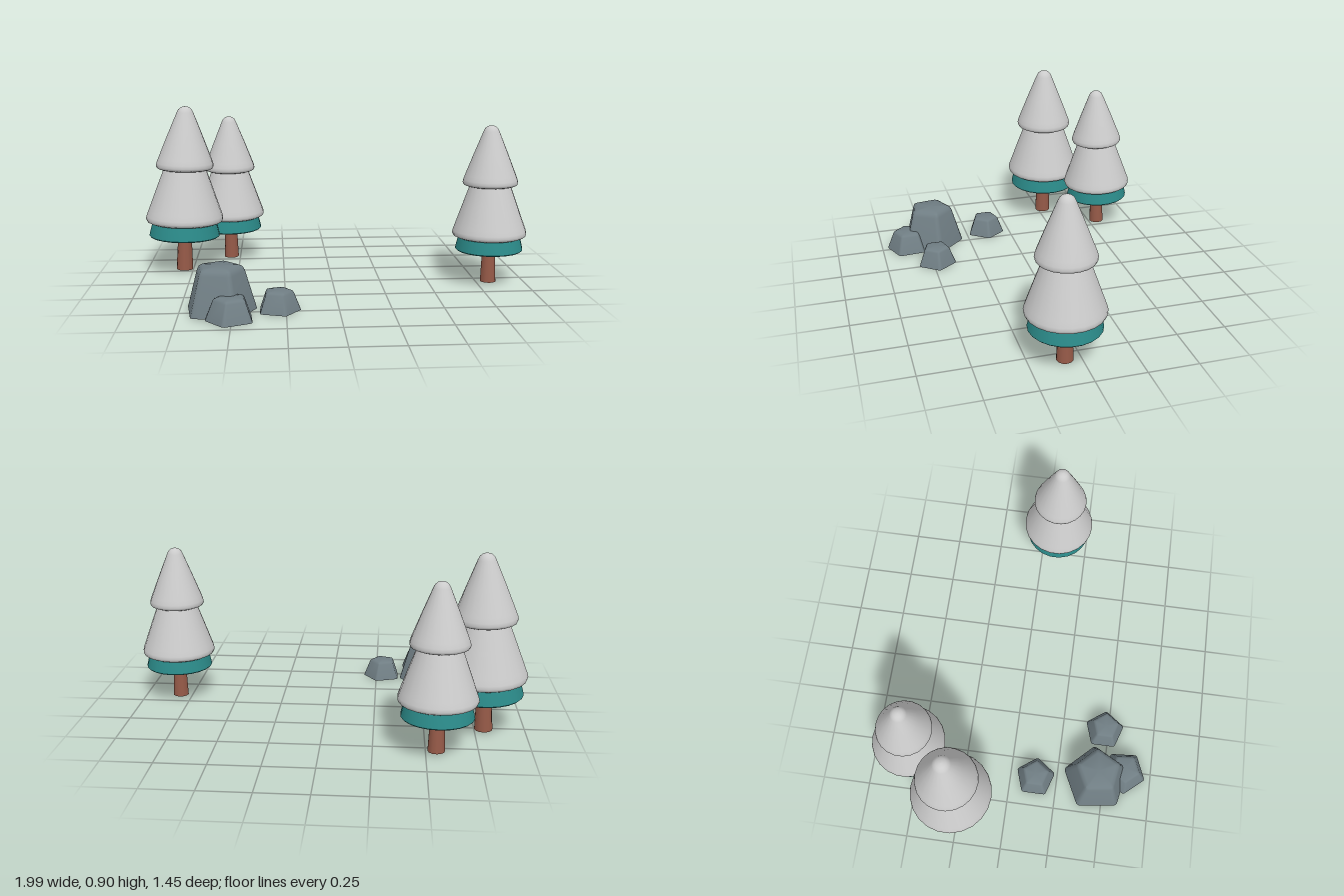
import * as THREE from 'three';
import { toCreasedNormals } from 'three/addons/utils/BufferGeometryUtils.js';

const grey = new THREE.MeshStandardMaterial({ color: 0xcccccc });
const teal = new THREE.MeshStandardMaterial({ color: 0x2b8a89 });
const bark = new THREE.MeshStandardMaterial({ color: 0x965a48 });
const stone = new THREE.MeshStandardMaterial({ color: 0x707e84, side: THREE.DoubleSide });

function lathe(name, profile, material, crease) {
  const geometry = new THREE.LatheGeometry(profile.map(([r, y]) => new THREE.Vector2(r, y)), 22);
  const mesh = new THREE.Mesh(crease ? toCreasedNormals(geometry, crease) : geometry, material);
  mesh.name = name;
  return mesh;
}

// Conifer: tapered trunk, coloured skirt and two round-rimmed snow cones
function makeTree(name, x, z, scale, leanX, leanZ) {
  const tree = new THREE.Group();
  tree.name = name;
  const trunk = new THREE.Mesh(new THREE.CylinderGeometry(0.034, 0.045, 0.24, 12), bark);
  trunk.name = 'trunk';
  trunk.position.y = 0.12;
  tree.add(
    trunk,
    lathe('skirt', [
      [0, 0.187], [0.165, 0.185], [0.184, 0.187], [0.19, 0.193], [0.188, 0.203], [0.168, 0.285], [0, 0.29],
    ], teal, 0.7),
    lathe('lowerTier', [
      [0, 0.28], [0.165, 0.268], [0.188, 0.266], [0.203, 0.273], [0.208, 0.286], [0.205, 0.302],
      [0.195, 0.33], [0.152, 0.45], [0.112, 0.56], [0.09, 0.62], [0, 0.63],
    ], grey),
    lathe('upperTier', [
      [0, 0.575], [0.115, 0.56], [0.135, 0.556], [0.149, 0.562], [0.154, 0.574], [0.151, 0.59],
      [0.142, 0.615], [0.095, 0.735], [0.044, 0.86], [0.036, 0.876], [0.024, 0.887], [0.01, 0.892], [0, 0.893],
    ], grey),
  );
  tree.position.set(x, 0.008, z);
  tree.rotation.set(leanX, 0, leanZ);
  tree.scale.setScalar(scale);
  return tree;
}

// Five-sided outline with rounded corners, unit radius
function roundedPentagon(turn) {
  const corner = (i) => new THREE.Vector2(Math.cos(turn + i * Math.PI * 0.4), Math.sin(turn + i * Math.PI * 0.4));
  const outline = [];
  for (let i = 0; i < 5; i++) {
    const c = corner(i);
    const bend = new THREE.QuadraticBezierCurve(
      c.clone().lerp(corner(i - 1), 0.13), c.clone().multiplyScalar(1.03), c.clone().lerp(corner(i + 1), 0.13));
    outline.push(...bend.getPoints(3));
  }
  return outline;
}

// Boulder: pentagonal rings narrowing to a bevelled flat top, open underneath
function makeRock(name, x, z, radius, height, turn) {
  const outline = roundedPentagon(turn);
  const n = outline.length;
  const rings = [[1, 0], [0.69, 0.87], [0.63, 0.96], [0.53, 1]];
  const positions = [];
  const index = [];
  for (const [s, h] of rings) {
    for (const p of outline) positions.push(p.x * s * radius, h * height, p.y * s * radius);
  }
  positions.push(0, height, 0);
  for (let j = 0; j < n; j++) {
    const k = (j + 1) % n;
    for (let r = 0; r < rings.length - 1; r++) {
      const a = r * n + j, b = r * n + k;
      index.push(a, a + n, b, b, a + n, b + n);
    }
    const top = (rings.length - 1) * n;
    index.push(rings.length * n, top + k, top + j);
  }
  const geometry = new THREE.BufferGeometry();
  geometry.setAttribute('position', new THREE.Float32BufferAttribute(positions, 3));
  geometry.setIndex(index);
  const mesh = new THREE.Mesh(toCreasedNormals(geometry, 0.75), stone);
  mesh.name = name;
  mesh.position.set(x, 0, z);
  return mesh;
}

export function createModel() {
  const model = new THREE.Group();
  model.name = 'treesAndRocks';
  model.add(
    makeTree('tallTree', -0.795, -0.275, 1, 0, -0.03),
    makeTree('backTree', -0.55, -0.545, 0.913, 0.03, 0),
    makeTree('leftTree', 0.81, 0.08, 0.913, 0, 0.006),
    makeRock('largeRock', -0.56, 0.46, 0.18, 0.215, -0.14),
    makeRock('frontRock', -0.505, 0.605, 0.12, 0.105, 0.55),
    makeRock('sideRock', -0.285, 0.478, 0.108, 0.097, 0),
    makeRock('backRock', -0.596, 0.134, 0.108, 0.097, 0),
  );
  return model;
}
